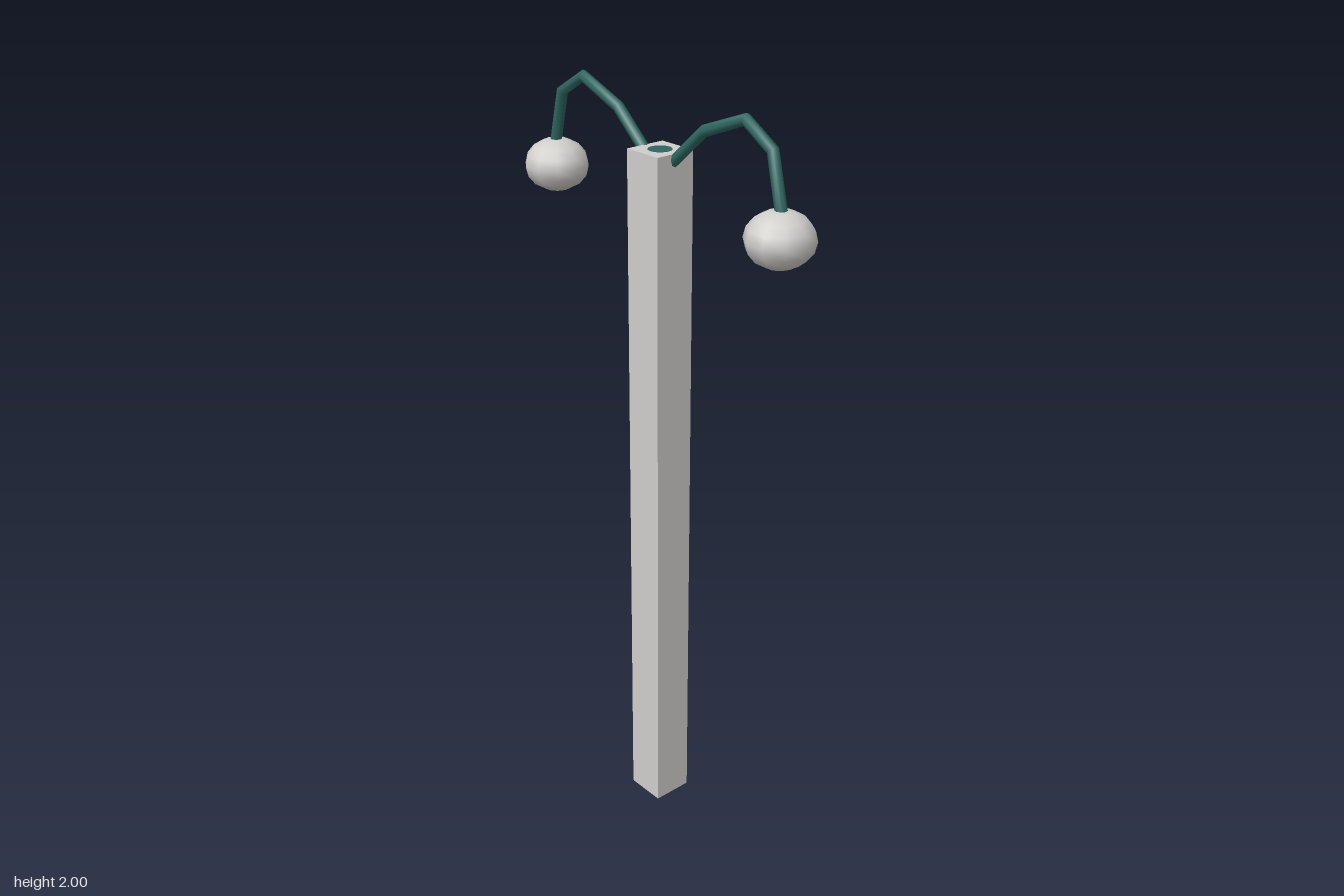
import * as THREE from 'three';

// Polyline whose rings sit exactly on the bends, mitred between neighbours
class BentPath extends THREE.Curve {
  constructor(points) {
    super();
    this.points = points;
  }
  getPointAt(t, target = new THREE.Vector3()) {
    return target.copy(this.points[Math.round(t * (this.points.length - 1))]);
  }
  getTangentAt(t, target = new THREE.Vector3()) {
    const p = this.points;
    const last = p.length - 1;
    const i = Math.round(t * last);
    target.set(0, 0, 0);
    if (i > 0) target.add(p[i].clone().sub(p[i - 1]).normalize());
    if (i < last) target.add(p[i + 1].clone().sub(p[i]).normalize());
    return target.normalize();
  }
}

export function createModel() {
  const model = new THREE.Group();
  model.name = 'streetLamp';

  const stone = new THREE.MeshStandardMaterial({ color: 0xd0cecb });
  stone.name = 'pale grey';
  const metal = new THREE.MeshStandardMaterial({ color: 0x2f6661 });
  metal.name = 'dark teal';

  const add = (name, geometry, material, x, y, parent = model) => {
    const mesh = new THREE.Mesh(geometry, material);
    mesh.name = name;
    mesh.position.set(x, y, 0);
    parent.add(mesh);
    return mesh;
  };

  // Square post with a round core showing at both ends
  const postHeight = 1.862;
  add('post', new THREE.BoxGeometry(0.11, postHeight, 0.11), stone, 0, postHeight / 2);
  add('core', new THREE.CylinderGeometry(0.03, 0.03, postHeight + 0.002, 12), metal, 0, postHeight / 2);

  // Two arching arms, each carrying a flattened globe
  for (const side of [1, -1]) {
    const lamp = new THREE.Group();
    lamp.name = side > 0 ? 'leftLamp' : 'rightLamp';
    model.add(lamp);

    const points = [[0.04, 1.836], [0.153, 1.934], [0.286, 1.985], [0.372, 1.934], [0.408, 1.79]]
      .map(([x, y]) => new THREE.Vector3(side * x, y, 0));
    add('arm', new THREE.TubeGeometry(new BentPath(points), points.length - 1, 0.0145, 8), metal, 0, 0, lamp);

    const globe = add('globe', new THREE.SphereGeometry(0.084, 10, 8), stone, side * 0.404, 1.743, lamp);
    globe.scale.y = 0.8;
  }
  return model;
}
